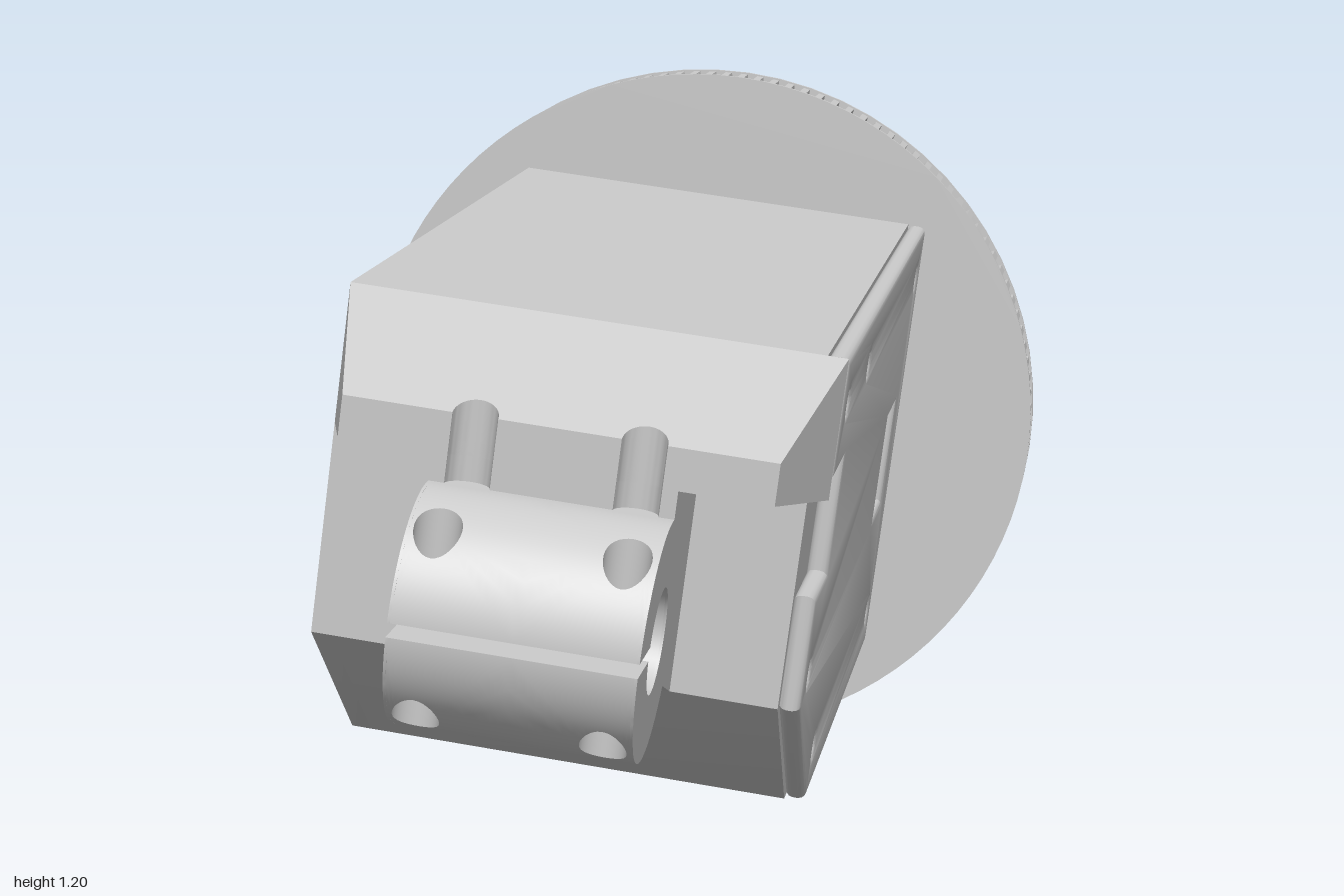
import * as THREE from 'three';
import { toCreasedNormals } from 'three/addons/utils/BufferGeometryUtils.js';
import { ParametricGeometry } from 'three/addons/geometries/ParametricGeometry.js';

const grey = new THREE.MeshStandardMaterial({ color: 0xcccccc });
const greyDouble = new THREE.MeshStandardMaterial({ color: 0xcccccc, side: THREE.DoubleSide });
const PI = Math.PI;

function add(group, name, geometry, material = grey) {
  const mesh = new THREE.Mesh(geometry, material);
  mesh.name = name;
  group.add(mesh);
}

const polygon = (pts) => new THREE.Shape(pts.map(([x, y]) => new THREE.Vector2(x, y)));
const circle = (x, y, r) => new THREE.Path().absarc(x, y, r, 0, 2 * PI, false);
const rect = (x0, y0, x1, y1) => new THREE.Path(
  [[x0, y0], [x1, y0], [x1, y1], [x0, y1]].map(([x, y]) => new THREE.Vector2(x, y)));

// Extrudes an (x, y) shape from z0 to z1
function slabZ(shape, z0, z1, segments = 20) {
  const g = new THREE.ExtrudeGeometry(shape, { depth: z1 - z0, bevelEnabled: false, curveSegments: segments });
  return toCreasedNormals(g.translate(0, 0, z0), 0.5);
}

// Extrudes a (z, y) side profile from x0 to x1, optionally with a rounded edge
function slabX(shape, x0, x1, bevel = 0) {
  const g = new THREE.ExtrudeGeometry(shape, {
    depth: x1 - x0 - 2 * bevel, curveSegments: 20, bevelEnabled: bevel > 0,
    bevelSize: bevel, bevelThickness: bevel, bevelOffset: -bevel, bevelSegments: 3,
  });
  g.translate(0, 0, bevel).rotateY(-PI / 2).translate(x1, 0, 0);
  return toCreasedNormals(g, 0.6);
}

// Curved slot with round ends around a quadratic path
function slot(a, b, c, r) {
  const curve = new THREE.QuadraticBezierCurve(
    new THREE.Vector2(...a), new THREE.Vector2(...b), new THREE.Vector2(...c));
  const pts = [];
  const put = (t, turn) => {
    const p = curve.getPoint(t), d = curve.getTangent(t).angle() + turn;
    pts.push(new THREE.Vector2(p.x + r * Math.cos(d), p.y + r * Math.sin(d)));
  };
  for (let i = 0; i <= 10; i++) put(i / 10, -PI / 2);
  for (let i = 1; i < 8; i++) put(1, -PI / 2 + i * PI / 8);
  for (let i = 10; i >= 0; i--) put(i / 10, PI / 2);
  for (let i = 1; i < 8; i++) put(0, PI / 2 + i * PI / 8);
  return new THREE.Path(pts);
}

const housingProfile = () => polygon([[-0.83, -0.385], [0.2, -0.385], [0.59, -0.135], [0.59, 0.385], [-0.83, 0.385]]);

function housing() {
  const g = new THREE.Group();
  g.name = 'housing';
  add(g, 'housingCore', slabX(housingProfile(), -0.33, 0.33));

  // Side wall with adjustment slots
  const wall = housingProfile();
  wall.holes.push(
    slot([-0.45, 0.19], [-0.34, 0.27], [-0.16, 0.27], 0.022),
    slot([-0.07, 0.12], [0.06, 0.1], [0.12, 0], 0.022),
    slot([-0.53, -0.17], [-0.53, -0.08], [-0.45, 0], 0.022),
    slot([-0.29, -0.03], [-0.21, -0.02], [-0.14, 0.01], 0.035),
    circle(-0.145, -0.27, 0.02));
  add(g, 'slottedWall', slabX(wall, -0.36, -0.33));

  // Screwed cover plate with a window and a front notch
  const cover = polygon([[-0.82, -0.382], [0.195, -0.382], [0.588, -0.135], [0.588, 0.036],
    [0.42, 0.036], [0.42, 0.207], [0.588, 0.207], [0.588, 0.385], [-0.82, 0.385]]);
  cover.holes.push(rect(-0.685, -0.085, -0.51, 0.09));
  for (const [z, y] of [[0.505, 0.308], [0.175, 0.308], [-0.735, 0.308], [0.505, -0.095], [0.175, -0.3], [-0.735, -0.3]])
    cover.holes.push(circle(z, y, 0.02));
  add(g, 'coverPlate', slabX(cover, 0.33, 0.362, 0.012));
  return g;
}

// Tapered block with two upright screw grooves in its front; top and bottom heights go back to front
function groovedBlock(backHalf, frontHalf, top, bottom) {
  const z0 = 0.59, z1 = 0.82, r = 0.032;
  const s = new THREE.Shape();
  s.moveTo(-backHalf, z0).lineTo(backHalf, z0).lineTo(frontHalf, z1);
  for (const x of [0.118, -0.118]) {
    s.lineTo(x + r, z1);
    s.absarc(x, z1, r, 0, -PI, true);
  }
  s.lineTo(-frontHalf, z1);
  s.closePath();
  const g = new THREE.ExtrudeGeometry(s, { depth: 1, bevelEnabled: false, curveSegments: 10 }).rotateX(PI / 2);
  const p = g.attributes.position;
  for (let i = 0; i < p.count; i++) {
    const ends = p.getY(i) > -0.5 ? top : bottom;
    p.setY(i, THREE.MathUtils.lerp(ends[0], ends[1], (p.getZ(i) - z0) / (z1 - z0)));
  }
  return toCreasedNormals(g, 0.5);
}

function clamp() {
  const g = new THREE.Group();
  g.name = 'clamp';
  const R = 0.17, bore = 0.075, gap = 0.01, half = 0.172, zc = 0.83;
  const a0 = Math.asin(gap / R), b0 = Math.asin(gap / bore);

  // Split ring with an arm to the housing; the core is cut back behind the jaw skins
  const profile = (cutBack) => {
    const s = new THREE.Shape();
    s.moveTo(R * Math.cos(a0), gap);
    if (cutBack) s.lineTo(0.15, 0.045).lineTo(0.04, 0.09).lineTo(0, R);
    else s.absarc(0, 0, R, a0, PI / 2, false);
    s.lineTo(0.59 - zc, R).lineTo(0.59 - zc, -0.135);
    const low = 1.2 * PI;
    s.lineTo(R * Math.cos(low), R * Math.sin(low));
    if (cutBack) {
      s.absarc(0, 0, R, low, 1.5 * PI, false);
      s.lineTo(0.04, -0.09).lineTo(0.15, -0.045).lineTo(R * Math.cos(a0), -gap);
    } else s.absarc(0, 0, R, low, 2 * PI - a0, false);
    s.lineTo(bore * Math.cos(b0), -gap);
    s.absarc(0, 0, bore, 2 * PI - b0, b0, true);
    s.closePath();
    return s;
  };
  add(g, 'clampCore', slabX(profile(true), -half + 0.004, half - 0.004));
  add(g, 'clampCheek', slabX(profile(false), half - 0.004, half));
  add(g, 'clampCheek', slabX(profile(false), -half, -half + 0.004));

  // Curved jaw skins, each with a counterbored screw hole
  const hx = 0.13, hz = 0.105, hr = 0.033, mid = Math.acos(hz / R);
  for (const sx of [1, -1]) for (const sy of [1, -1]) {
    const at = (u) => 2 * PI * (sx * sy > 0 ? u : 1 - u);
    const skin = (u, v, out) => {
      const c = Math.cos(at(u)), s = Math.sin(at(u)), m = Math.max(Math.abs(c), Math.abs(s));
      const ex = hx + c / m * (c > 0 ? half - hx : hx);
      const et = mid + s / m * (s > 0 ? PI / 2 - mid : mid - a0);
      const x = THREE.MathUtils.lerp(hx + hr * c, ex, v);
      const t = THREE.MathUtils.lerp(Math.acos((hz - hr * s) / R), et, v);
      out.set(sx * x, sy * R * Math.sin(t), R * Math.cos(t));
    };
    const hole = (u, v, out) => {
      skin(u, 0, out);
      out.y = THREE.MathUtils.lerp(out.y, sy * 0.04, v);
    };
    add(g, 'jawSkin', new ParametricGeometry(skin, 32, 8), greyDouble);
    add(g, 'screwHole', new ParametricGeometry(hole, 32, 1), greyDouble);
  }
  g.position.z = zc;
  return g;
}

function pulley() {
  const g = new THREE.Group();
  g.name = 'pulley';
  const bore = 0.13, teeth = 130;
  const round = (r) => new THREE.Shape().absarc(0, 0, r, 0, 2 * PI, false);
  const gear = () => {
    const pts = [];
    for (let i = 0; i < teeth; i++)
      for (const [f, r] of [[0, 0.582], [0.4, 0.582], [0.5, 0.597], [0.9, 0.597]]) {
        const a = (i + f) / teeth * 2 * PI;
        pts.push([r * Math.cos(a), r * Math.sin(a)]);
      }
    return polygon(pts);
  };
  // Ring-shaped groove that stops short at the bottom, and four face holes
  const pierce = (s) => {
    const a = -PI / 2 + 0.13, b = 1.5 * PI - 0.13, r = 0.45, w = 0.04;
    const groove = new THREE.Path();
    groove.absarc(0, 0, r + w, a, b, false);
    groove.absarc(r * Math.cos(b), r * Math.sin(b), w, b, b + PI, false);
    groove.absarc(0, 0, r - w, b, a, true);
    groove.absarc(r * Math.cos(a), r * Math.sin(a), w, a + PI, a + 2 * PI, false);
    s.holes.push(groove, circle(0, 0, bore));
    for (let i = 0; i < 4; i++) {
      const t = (i + 0.5) * PI / 2;
      s.holes.push(circle(0.345 * Math.cos(t), 0.345 * Math.sin(t), 0.02));
    }
    return s;
  };
  const base = gear();
  base.holes.push(circle(0, 0, bore));
  add(g, 'frontFlange', slabZ(round(0.6), -0.838, -0.83, 48));
  add(g, 'toothedRim', slabZ(base, -0.89, -0.838, 32));
  add(g, 'groovedRim', slabZ(pierce(gear()), -0.922, -0.89, 32));
  add(g, 'rearFlange', slabZ(pierce(round(0.6)), -0.93, -0.922, 32));

  // Hub with bolt holes
  const hub = round(0.257);
  hub.holes.push(circle(0, 0, bore));
  for (let i = 0; i < 4; i++)
    hub.holes.push(circle(0.2 * Math.cos(i * PI / 2), 0.2 * Math.sin(i * PI / 2), 0.017));
  add(g, 'hub', slabZ(hub, -1, -0.93, 32));
  return g;
}

export function createModel() {
  const model = new THREE.Group();
  model.name = 'clampArmUnit';
  const tilted = new THREE.Group();
  tilted.name = 'tiltedAssembly';
  tilted.add(housing(), clamp(), pulley());
  add(tilted, 'hood', groovedBlock(0.36, 0.305, [0.385, 0.27], [0.18, 0.21]));
  add(tilted, 'bridge', groovedBlock(0.172, 0.172, [0.2, 0.23], [0.13, 0.13]));
  tilted.rotation.z = -0.129;
  tilted.position.y = 0.6;
  model.add(tilted);
  return model;
}
